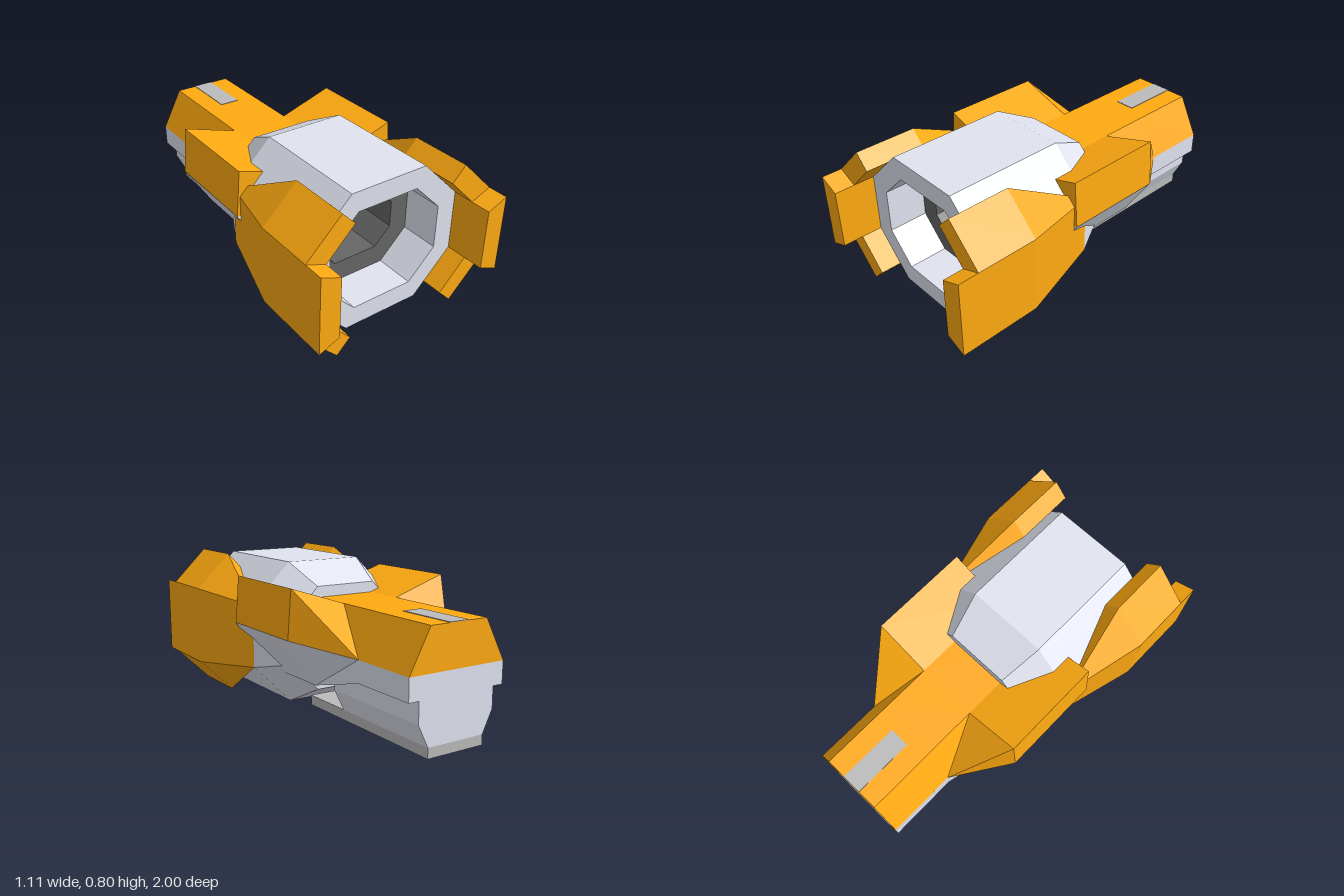
import * as THREE from 'three';

const MID_Y = 0.405;
const mat = (color) => new THREE.MeshStandardMaterial({ color, flatShading: true });

// Skins a row of cross-sections [z, points]; points run counter-clockwise seen from +z.
function loft(sections, capFront = true, capBack = true) {
  const pos = [];
  const rings = sections.map(([z, pts]) => pts.map(([x, y]) => new THREE.Vector3(x, y, z)));
  const tri = (a, b, c) => {
    const area = b.clone().sub(a).cross(c.clone().sub(a)).length();
    if (area > 1e-7) for (const p of [a, b, c]) pos.push(p.x, p.y, p.z);
  };
  for (let s = 0; s < rings.length - 1; s++) {
    const f = rings[s], r = rings[s + 1], n = f.length;
    for (let i = 0; i < n; i++) {
      const a = f[i], b = f[(i + 1) % n], c = r[(i + 1) % n], d = r[i];
      // split each quad along its shorter diagonal
      if (a.distanceTo(c) < b.distanceTo(d)) { tri(a, d, c); tri(a, c, b); }
      else { tri(a, d, b); tri(d, c, b); }
    }
  }
  const cap = (ring, flip) => {
    const flat = ring.map((p) => new THREE.Vector2(p.x, p.y));
    for (const [i, j, k] of THREE.ShapeUtils.triangulateShape(flat, [])) {
      if (flip) tri(ring[i], ring[k], ring[j]);
      else tri(ring[i], ring[j], ring[k]);
    }
  };
  if (capFront) cap(rings[0], false);
  if (capBack) cap(rings[rings.length - 1], true);
  const g = new THREE.BufferGeometry();
  g.setAttribute('position', new THREE.Float32BufferAttribute(pos, 3));
  g.computeVertexNormals();
  return g;
}

const mirrorX = (pts) => pts.map(([x, y]) => [-x, y]).reverse();
const symmetric = (half) => [...half, ...mirrorX(half)];

// Stretched octagon with 45 degree corners
function octagon(w, h, cut) {
  const right = [[w - cut, -h], [w, cut - h], [w, h - cut], [w - cut, h]];
  return symmetric(right).map(([x, y]) => [x, y + MID_Y]);
}

export function createModel() {
  const model = new THREE.Group();
  const yellow = mat(0xffaa11), light = mat(0xe1e4f0), dark = mat(0x666666), grey = mat(0xbbbbbb);
  const add = (name, geometry, material) => {
    const m = new THREE.Mesh(geometry, material);
    m.name = name;
    model.add(m);
    return m;
  };
  const box = (name, w, h, d, x, y, z, material) =>
    add(name, new THREE.BoxGeometry(w, h, d), material).position.set(x, y, z);

  // Engine barrel with stepped recess
  const outer = octagon(0.443, 0.388, 0.221);
  const middle = octagon(0.333, 0.278, 0.156);
  const inner = octagon(0.224, 0.167, 0.094);
  add('engineBarrel', loft([
    [0.555, middle], [0.775, middle], [0.775, outer], [0.11, outer], [-0.11, middle],
  ], false, true), light);
  add('recessStep', loft([[0.333, inner], [0.555, inner], [0.555, middle]], false, false), dark);
  const floor = new THREE.ShapeGeometry(new THREE.Shape(inner.map(([x, y]) => new THREE.Vector2(x, y))));
  add('recessFloor', floor, light).position.z = 0.333;

  // Side brackets wrapping the barrel, narrowing to its flank
  const bracket = [
    [0.365, 0.003], [0.555, 0.192], [0.555, 0.618], [0.365, 0.805],
    [0.29, 0.728], [0.443, 0.572], [0.443, 0.238], [0.29, 0.08],
  ];
  const flank = bracket.map(([, y]) => [0.443, y < MID_Y ? 0.238 : 0.572]);
  const lip = [bracket[1], bracket[2], bracket[5], bracket[6]];
  for (const [side, place] of [['left', (p) => p], ['right', mirrorX]]) {
    add(side + 'Bracket', loft([
      [0.89, place(bracket)], [0.555, place(bracket)], [0.11, place(flank)],
    ], true, false), yellow);
    add(side + 'BracketLip', loft([[1, place(lip)], [0.885, place(lip)]]), yellow);
  }

  // Upper shell: raised shoulders narrowing into the tail
  const shoulder = symmetric([[0.49, 0.472], [0.47, 0.725], [0.165, 0.625]]);
  const tail = symmetric([[0.28, 0.41], [0.28, 0.41], [0.165, 0.625]]);
  add('upperShell', loft([[0.22, shoulder], [-0.335, shoulder], [-0.625, tail], [-1, tail]]), yellow);

  // Underside of the shell
  const belly = symmetric([[0.335, 0.227], [0.49, 0.472]]);
  const tailBelly = symmetric([[0.28, 0.295], [0.28, 0.41]]);
  add('lowerShell', loft([[0.22, belly], [-0.335, belly], [-0.625, tailBelly], [-1, tailBelly]]), light);

  // Keel below the tail, its base plate and the strip on top
  const keel = symmetric([[0.165, 0.07], [0.222, 0.185], [0.222, 0.32]]);
  add('tailKeel', loft([[-0.335, keel], [-1, keel]]), light);
  box('basePlate', 0.33, 0.054, 0.98, 0, 0.044, -0.51, grey);
  box('topStrip', 0.11, 0.02, 0.33, 0, 0.618, -0.835, grey);

  return model;
}
